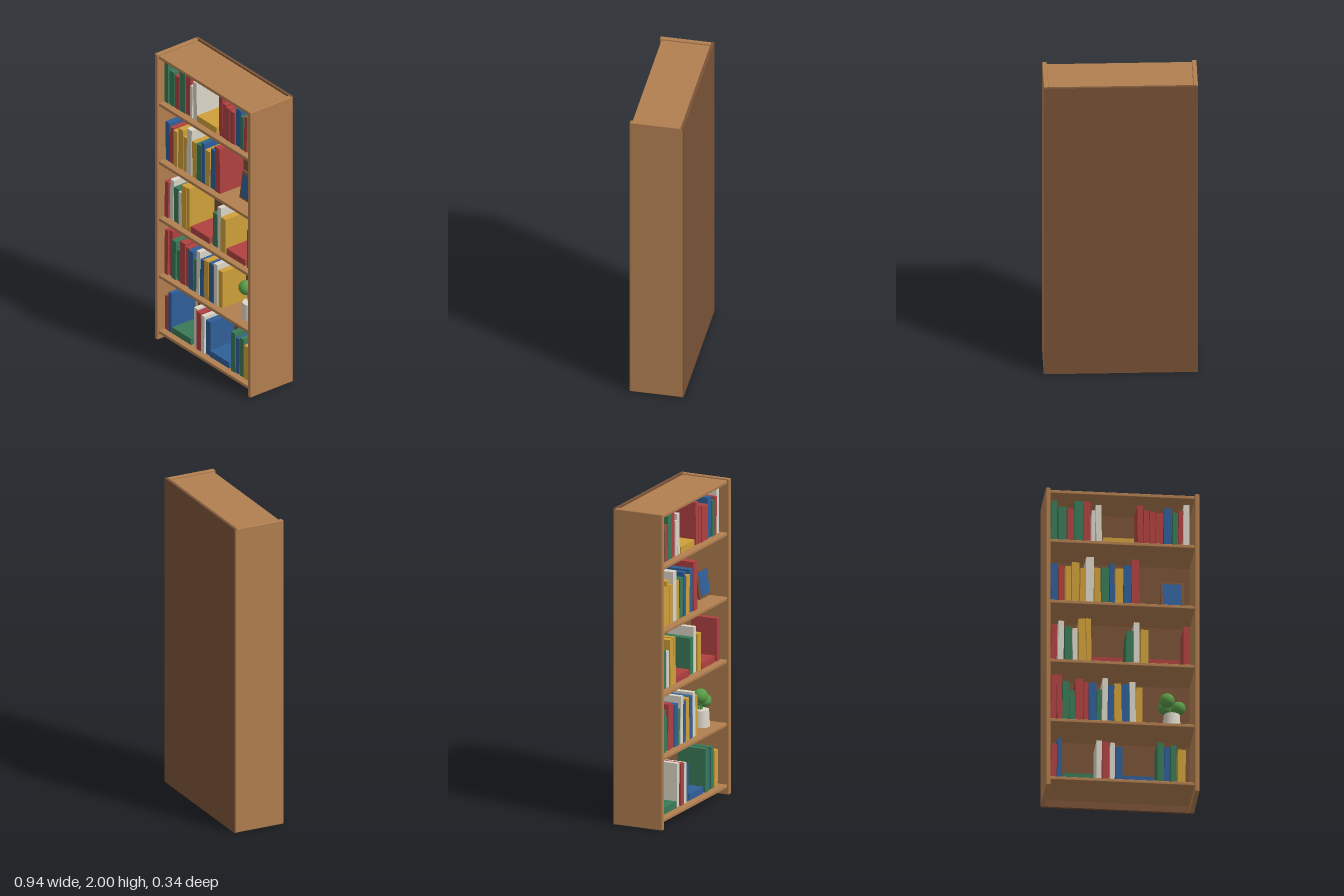
import * as THREE from 'three';
import { RoundedBoxGeometry } from 'three/addons/geometries/RoundedBoxGeometry.js';

const mat = (name, color) => {
  const m = new THREE.MeshStandardMaterial({ color });
  m.name = name;
  return m;
};

export function createModel() {
  const wood = mat('oak wood', 0xb27f50);
  const darkWood = mat('dark wood', 0x7a5337);
  const leaf = mat('leaf green', 0x5a9c48);
  const cream = mat('cream', 0xdcd6c8);
  const blue = mat('blue', 0x2f5f98);
  const covers = {
    r: mat('red', 0xb04141), g: mat('green', 0x3a7a58), y: mat('gold', 0xcfa03a), b: blue, w: cream,
  };

  const model = new THREE.Group();
  model.name = 'bookcase';

  const add = (parent, name, geometry, material, x, y, z) => {
    const mesh = new THREE.Mesh(geometry, material);
    mesh.name = name;
    mesh.position.set(x, y, z);
    parent.add(mesh);
    return mesh;
  };

  // Carcass: side panels, back board, five shelves and the top
  for (const [name, s] of [['leftSide', 1], ['rightSide', -1]]) {
    add(model, name, new RoundedBoxGeometry(0.029, 1.999, 0.33, 2, 0.006), wood, s * 0.4565, 1, 0.002);
  }
  add(model, 'backBoard', new THREE.BoxGeometry(0.938, 2, 0.018), darkWood, 0, 1, -0.159);
  const shelfTops = [0.065, 0.455, 0.855, 1.252, 1.66];
  for (const y of [...shelfTops, 1.99]) {
    add(model, y > 1.9 ? 'topBoard' : 'shelf', new RoundedBoxGeometry(0.886, 0.022, 0.306, 2, 0.004),
      wood, 0, y - 0.011, 0.003);
  }

  // Small repeatable variation for lean and depth
  let seed = 7;
  const vary = (range) => {
    seed = (seed * 16807) % 2147483647;
    return (seed / 2147483647 - 0.5) * 2 * range;
  };

  // Books: [cover, left edge, width, height]; wide ones lie flat
  const fillShelf = (level, books) => {
    const row = new THREE.Group();
    row.name = 'bookRow' + (level + 1);
    row.position.y = shelfTops[level];
    model.add(row);
    for (const [cover, left, width, height] of books) {
      const flat = width > 0.15;
      const depth = flat ? 0.17 : 0.185 + vary(0.012);
      const book = add(row, flat ? 'flatBook' : 'book',
        new THREE.BoxGeometry(width - 0.002, height, depth), covers[cover],
        left + width / 2, height / 2 + 0.001, 0.113 + vary(0.006) - depth / 2);
      if (!flat) book.rotation.z = vary(0.02);
    }
  };

  fillShelf(4, [
    ['g', -0.434, 0.037, 0.275], ['g', -0.389, 0.05, 0.238], ['r', -0.335, 0.042, 0.228],
    ['g', -0.291, 0.056, 0.28], ['r', -0.233, 0.043, 0.28], ['w', -0.187, 0.024, 0.222],
    ['w', -0.159, 0.036, 0.26], ['y', -0.116, 0.19, 0.042], ['r', 0.095, 0.037, 0.27],
    ['r', 0.134, 0.034, 0.238], ['r', 0.169, 0.036, 0.228], ['r', 0.206, 0.048, 0.222],
    ['b', 0.258, 0.049, 0.258], ['g', 0.311, 0.034, 0.228], ['r', 0.347, 0.028, 0.243],
    ['w', 0.378, 0.038, 0.286],
  ]);
  fillShelf(3, [
    ['b', -0.434, 0.043, 0.266], ['r', -0.387, 0.037, 0.25], ['y', -0.348, 0.036, 0.246],
    ['y', -0.307, 0.047, 0.277], ['y', -0.256, 0.034, 0.24], ['w', -0.221, 0.05, 0.315],
    ['y', -0.169, 0.04, 0.246], ['g', -0.127, 0.048, 0.25], ['b', -0.075, 0.032, 0.278],
    ['y', -0.041, 0.05, 0.246], ['b', 0.011, 0.046, 0.272], ['r', 0.059, 0.05, 0.31],
  ]);
  fillShelf(2, [
    ['r', -0.434, 0.037, 0.25], ['w', -0.391, 0.037, 0.278], ['g', -0.35, 0.047, 0.24],
    ['w', -0.302, 0.032, 0.23], ['y', -0.265, 0.044, 0.294], ['y', -0.219, 0.032, 0.298],
    ['r', -0.18, 0.186, 0.042], ['g', 0.026, 0.047, 0.23], ['w', 0.074, 0.036, 0.29],
    ['y', 0.115, 0.048, 0.238], ['r', 0.169, 0.186, 0.042], ['r', 0.376, 0.04, 0.27],
  ]);
  fillShelf(1, [
    ['r', -0.434, 0.034, 0.31], ['r', -0.398, 0.034, 0.315], ['g', -0.364, 0.041, 0.268],
    ['g', -0.322, 0.036, 0.215], ['r', -0.286, 0.051, 0.29], ['r', -0.233, 0.031, 0.272],
    ['b', -0.201, 0.047, 0.268], ['g', -0.153, 0.031, 0.226], ['w', -0.121, 0.035, 0.3],
    ['b', -0.085, 0.037, 0.257], ['y', -0.047, 0.046, 0.268], ['b', 0, 0.047, 0.268],
    ['w', 0.048, 0.037, 0.284], ['y', 0.087, 0.04, 0.252],
  ]);
  fillShelf(0, [
    ['r', -0.434, 0.036, 0.236], ['b', -0.397, 0.031, 0.274], ['g', -0.362, 0.188, 0.042],
    ['w', -0.156, 0.034, 0.274], ['r', -0.121, 0.046, 0.264], ['w', -0.074, 0.032, 0.258],
    ['b', -0.041, 0.046, 0.236], ['b', 0.006, 0.19, 0.042], ['g', 0.217, 0.041, 0.274],
    ['b', 0.259, 0.036, 0.247], ['g', 0.301, 0.036, 0.264], ['y', 0.343, 0.049, 0.232],
  ]);

  // Picture frame leaning back on a strut
  const frame = new THREE.Group();
  frame.name = 'pictureFrame';
  frame.position.set(0.314, 1.362, 0.05);
  frame.rotation.x = -0.15;
  model.add(frame);
  add(frame, 'frameBorder', new RoundedBoxGeometry(0.146, 0.182, 0.018, 2, 0.004), darkWood, 0, 0, 0);
  add(frame, 'picture', new THREE.BoxGeometry(0.116, 0.15, 0.006), blue, 0, 0, 0.009);
  const strut = add(frame, 'frameStrut', new THREE.BoxGeometry(0.03, 0.15, 0.008), darkWood, 0, -0.035, -0.03);
  strut.rotation.x = 0.3;

  // Potted plant
  const plant = new THREE.Group();
  plant.name = 'pottedPlant';
  plant.position.set(0.313, shelfTops[1], 0.04);
  model.add(plant);
  add(plant, 'pot', new THREE.CylinderGeometry(0.05, 0.056, 0.105, 24), cream, 0, 0.0525, 0);
  const foliage = [[-0.03, 0.198, 0.012, 0.046], [0.042, 0.152, 0.005, 0.042],
    [-0.04, 0.165, -0.035, 0.04], [0.012, 0.16, -0.04, 0.04]];
  for (const [x, y, z, r] of foliage) {
    add(plant, 'leafCluster', new THREE.SphereGeometry(r, 20, 14), leaf, x, y, z);
    const stem = new THREE.LineCurve3(new THREE.Vector3(0, 0.09, 0), new THREE.Vector3(x, y, z));
    add(plant, 'stem', new THREE.TubeGeometry(stem, 1, 0.005, 6), leaf, 0, 0, 0);
  }

  return model;
}
